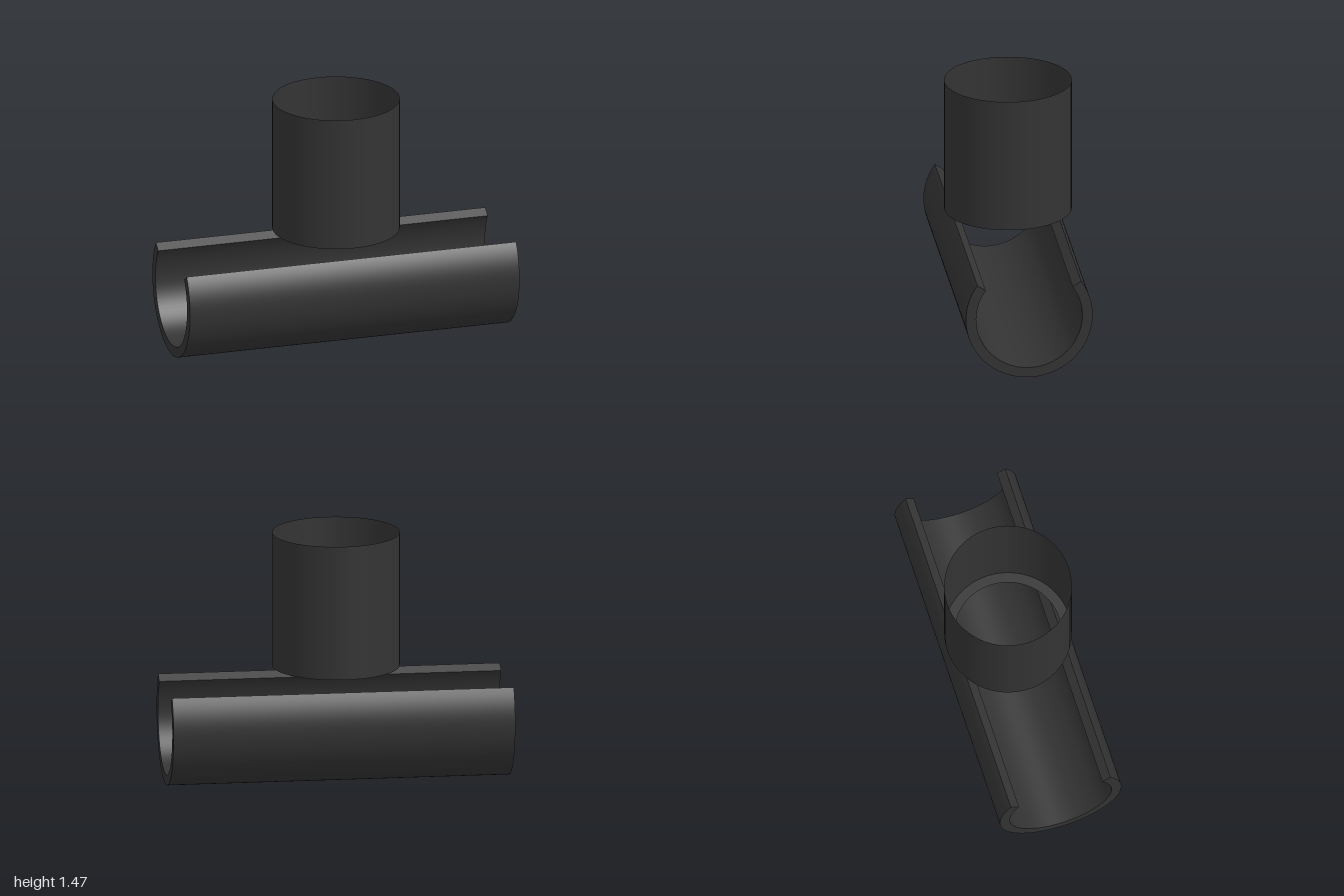
import * as THREE from 'three';
import { toCreasedNormals } from 'three/addons/utils/BufferGeometryUtils.js';

const OUTER = 0.37, INNER = 0.31;

export function createModel() {
  const group = new THREE.Group();
  const charcoal = new THREE.MeshStandardMaterial({ color: 0x333333, side: THREE.DoubleSide });
  charcoal.name = 'charcoal';

  // Trough: a thick pipe, open along the top, running along x
  const start = THREE.MathUtils.degToRad(145);
  const end = THREE.MathUtils.degToRad(395);
  const section = new THREE.Shape();
  section.absarc(0, 0, OUTER, start, end, false);
  section.absarc(0, 0, INNER, end, start, true);
  const troughGeometry = new THREE.ExtrudeGeometry(section, {
    depth: 2, curveSegments: 64, bevelEnabled: false,
  });
  troughGeometry.translate(0, 0, -1).rotateY(Math.PI / 2).translate(0, OUTER, 0);
  const trough = new THREE.Mesh(toCreasedNormals(troughGeometry, 0.5), charcoal);
  trough.name = 'trough';
  group.add(trough);

  // Upright sleeve: a thin open wall floating above the trough
  const bottom = 0.675, top = 1.47;
  const sleeve = new THREE.Mesh(
    new THREE.CylinderGeometry(OUTER, OUTER, top - bottom, 64, 1, true), charcoal);
  sleeve.name = 'sleeve';
  sleeve.position.y = (top + bottom) / 2;
  group.add(sleeve);

  // Flat inward lip at the bottom of the sleeve
  const lip = new THREE.Mesh(new THREE.RingGeometry(INNER, OUTER, 64), charcoal);
  lip.name = 'sleeveLip';
  lip.rotation.x = Math.PI / 2;
  lip.position.y = bottom;
  group.add(lip);

  return group;
}
